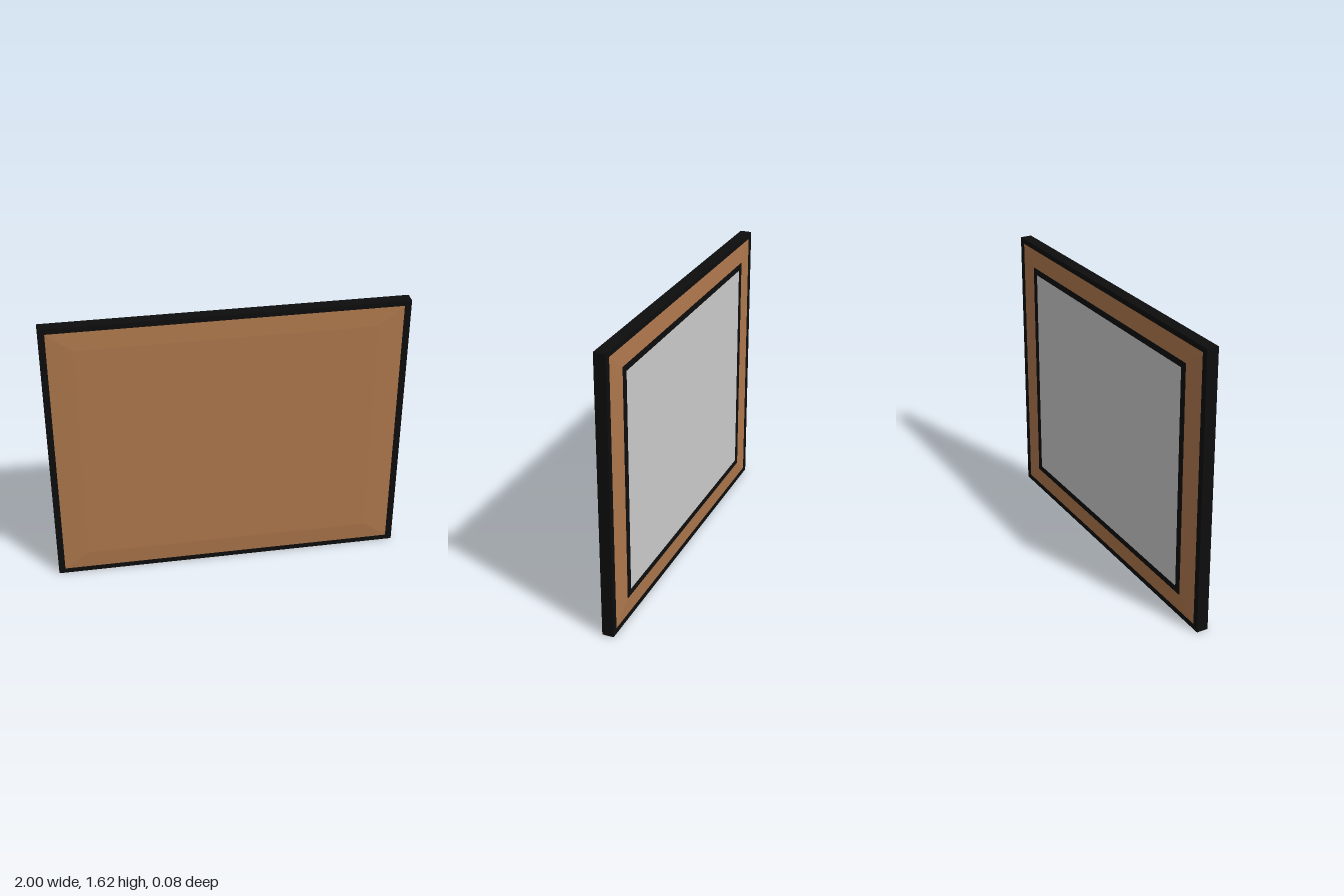
import * as THREE from 'three';

const W = 2, H = 1.615;            // outer frame
const OPEN_W = 1.926, OPEN_H = 1.555; // opening of outer frame
const IN_W = 1.65, IN_H = 1.34;    // raised centre

const mat = (color) => new THREE.MeshStandardMaterial({ color, roughness: 0.8 });

// rectangular ring between z0 and z1
function ring(w, h, iw, ih, z0, z1) {
  const rect = (T, a, b) => new T([
    new THREE.Vector2(-a / 2, -b / 2), new THREE.Vector2(a / 2, -b / 2),
    new THREE.Vector2(a / 2, b / 2), new THREE.Vector2(-a / 2, b / 2),
  ]);
  const shape = rect(THREE.Shape, w, h);
  shape.holes.push(rect(THREE.Path, iw, ih));
  return new THREE.ExtrudeGeometry(shape, { depth: z1 - z0, bevelEnabled: false }).translate(0, 0, z0);
}

// raised panel: box whose +z face shrinks to a smaller rectangle, with a flat skirt
function raisedPanel(w, h, iw, ih, edgeZ, topZ) {
  const loop = (a, b, z) => [[-1, -1], [1, -1], [1, 1], [-1, 1]]
    .map(([x, y]) => [x * a / 2, y * b / 2, z]);
  const loops = [loop(w, h, 0), loop(w, h, edgeZ), loop(iw, ih, topZ)];
  const pos = [];
  const quad = (a, b, c, d) => pos.push(...a, ...b, ...c, ...a, ...c, ...d);
  for (let k = 0; k < 2; k++) {
    for (let i = 0; i < 4; i++) {
      const j = (i + 1) % 4;
      quad(loops[k][i], loops[k][j], loops[k + 1][j], loops[k + 1][i]);
    }
  }
  quad(...loops[2]);
  const g = new THREE.BufferGeometry();
  g.setAttribute('position', new THREE.Float32BufferAttribute(pos, 3));
  g.computeVertexNormals();
  return g;
}

export function createModel() {
  const group = new THREE.Group();
  const black = mat(0x0d0d0d), brown = mat(0xaf784d), grey = mat(0xcccccc);
  const add = (name, geometry, material) => {
    const m = new THREE.Mesh(geometry, material);
    m.name = name;
    m.position.y = H / 2;
    group.add(m);
    return m;
  };

  // black border all round
  add('outerFrame', ring(W, H, OPEN_W, OPEN_H, -0.033, 0.033), black);

  // bevelled wooden panels, front and back
  add('frontPanel', raisedPanel(OPEN_W, OPEN_H, IN_W, IN_H, 0.032, 0.04), brown);
  add('backPanel', raisedPanel(OPEN_W, OPEN_H, IN_W, IN_H, 0.031, 0.036), brown).rotation.y = Math.PI;

  // inner border and pane on the back
  add('innerFrame', ring(IN_W, IN_H, IN_W - 0.076, IN_H - 0.07, -0.039, -0.03), black);
  const pane = new THREE.BoxGeometry(IN_W - 0.076, IN_H - 0.07, 0.01);
  add('pane', pane.translate(0, 0, -0.033), grey);

  return group;
}
